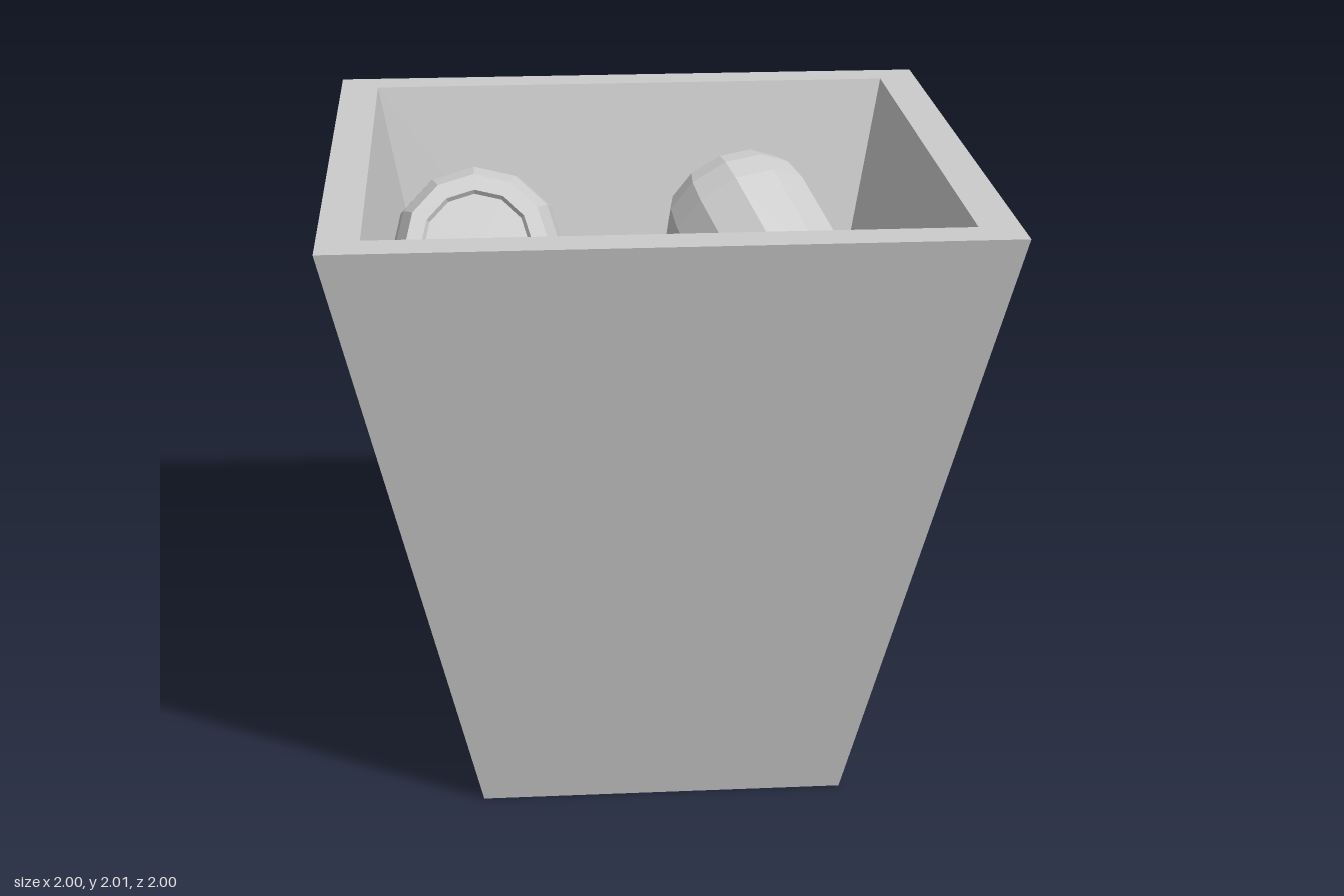
import * as THREE from 'three';

const material = new THREE.MeshStandardMaterial({ color: 0xcccccc, flatShading: true });

// Faceted solid of revolution; the profile runs from the bottom centre to the top centre
function turned(profile, sides, phi = 0) {
  const points = profile.map(([r, y]) => new THREE.Vector2(r, y));
  return new THREE.LatheGeometry(points, sides, phi);
}

export function createModel() {
  const group = new THREE.Group();

  // Square tapered bin: outer walls, flat rim, inner walls and floor
  const corner = Math.SQRT2;
  const binProfile = [[0, 0], [0.575, 0], [1, 1.98], [0.875, 1.98], [0.503, 0.1], [0, 0.1]]
    .map(([half, y]) => [half * corner, y]);
  const bin = new THREE.Mesh(turned(binProfile, 4, Math.PI / 4), material);
  bin.name = 'bin';
  group.add(bin);

  // Can with bevelled shoulders and slightly recessed ends, origin at its top end
  const length = 0.85;
  const topHalf = [[0.268, -0.15], [0.252, -0.06], [0.218, 0], [0.17, 0], [0.16, -0.012], [0, -0.012]];
  const bottomHalf = topHalf.map(([r, y]) => [r, -length - y]).reverse();
  const canGeometry = turned([...bottomHalf, ...topHalf], 12);

  // Each can: centre of its upper end, and the direction that end faces
  const cans = [
    ['leftLyingCan', [-0.55, 1.81, 0.41], [-0.03, 0.45, 0.89]],
    ['backLeaningCan', [0.32, 1.62, -0.7], [-0.32, 0.5, -0.81]],
    ['frontLeaningCan', [0.58, 1.7, 0.23], [0.27, 0.89, -0.35]],
    ['middleCan', [0, 1.55, 0.06], [-0.15, 0.97, -0.18]],
    ['backLowCan', [-0.14, 1.4, -0.27], [0.33, 0.9, 0.26]],
    ['frontLowCan', [-0.2, 1.6, 0.6], [0.32, 0.83, 0.45]],
  ];
  const up = new THREE.Vector3(0, 1, 0);
  for (const [name, top, direction] of cans) {
    const can = new THREE.Mesh(canGeometry, material);
    can.name = name;
    can.position.set(...top);
    can.quaternion.setFromUnitVectors(up, new THREE.Vector3(...direction).normalize());
    group.add(can);
  }

  return group;
}
